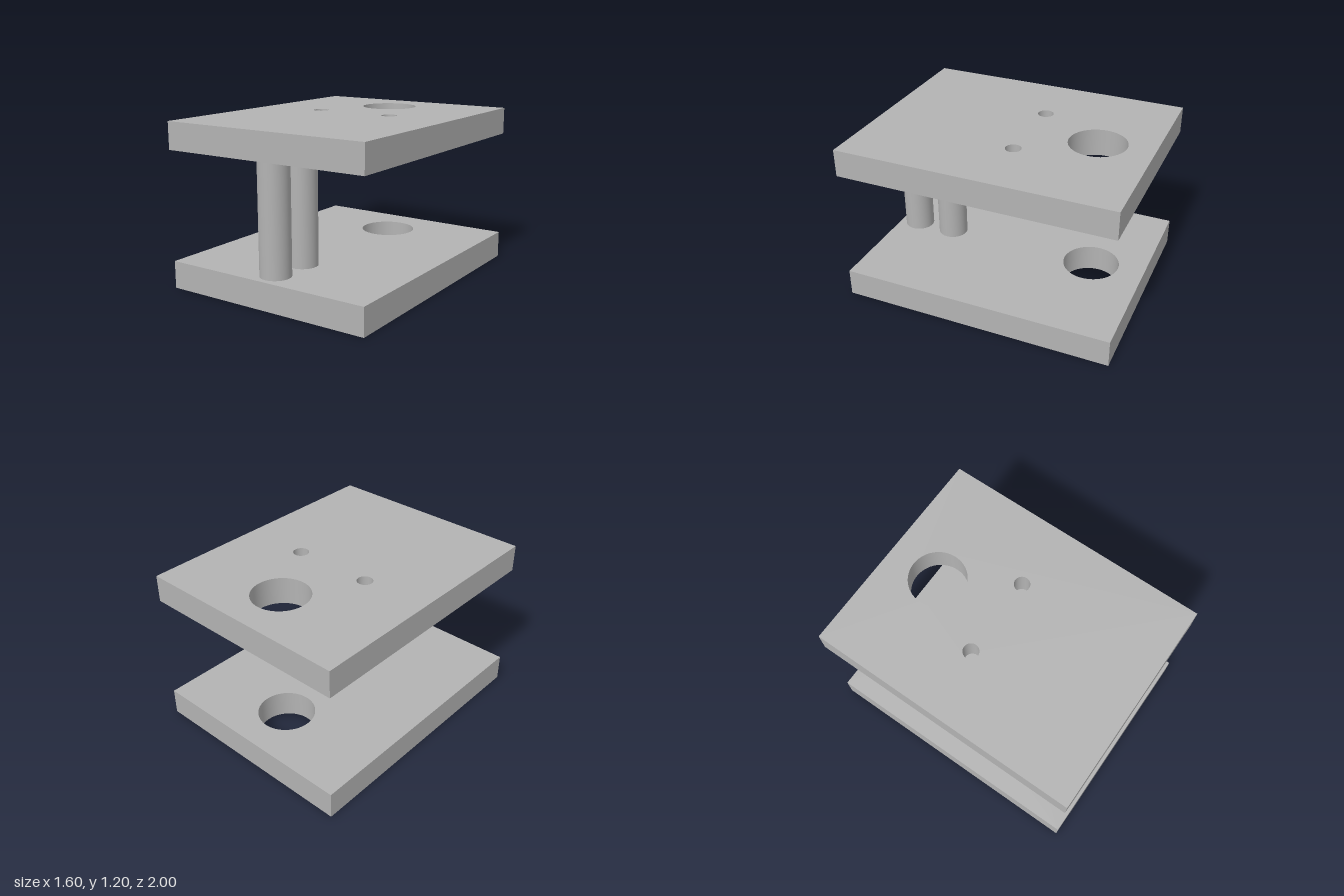
import * as THREE from 'three';
import { mergeGeometries } from 'three/addons/utils/BufferGeometryUtils.js';

const W = 1.6, D = 2, T = 0.2;
const mainHole = { x: 0, z: -0.6, r: 0.207 };
const smallHoles = [-0.3, 0.3].map((x) => ({ x, z: -0.1, r: 0.057 }));
const pockets = [-0.65, 0.65].map((x) => ({ x, z: -0.6, r: 0.112, depth: 0.16 }));

// Flat horizontal face of a plate, pierced by the given holes
function face(holes, y, up) {
  const s = up ? -1 : 1; // shape y maps to z with this sign
  const shape = new THREE.Shape([[-1, -1], [1, -1], [1, 1], [-1, 1]]
    .map(([a, b]) => new THREE.Vector2(a * W / 2, b * D / 2)));
  for (const h of holes) {
    shape.holes.push(new THREE.Path().absarc(h.x, s * h.z, h.r, 0, Math.PI * 2, true));
  }
  return new THREE.ShapeGeometry(shape, 32).rotateX(up ? -Math.PI / 2 : Math.PI / 2).translate(0, y, 0);
}

// Surface of revolution from one straight profile segment
function ring(h, r0, y0, r1, y1) {
  const points = [new THREE.Vector2(r0, y0), new THREE.Vector2(r1, y1)];
  return new THREE.LatheGeometry(points, 64).translate(h.x, 0, h.z);
}

// Plate with through holes and blind pockets in its underside
function plate(through, blind) {
  const parts = [face(through, T, true), face([...through, ...blind], 0, false)];
  // Outer edges
  for (let i = 0; i < 4; i++) {
    const [w, d] = i % 2 ? [D, W] : [W, D];
    parts.push(new THREE.PlaneGeometry(w, T).translate(0, T / 2, d / 2).rotateY(i * Math.PI / 2));
  }
  // Hole walls face inwards
  for (const h of through) parts.push(ring(h, h.r, T, h.r, 0));
  for (const h of blind) {
    parts.push(ring(h, h.r, h.depth, h.r, 0), ring(h, 0, h.depth, h.r, h.depth));
  }
  return mergeGeometries(parts);
}

export function createModel() {
  const group = new THREE.Group();
  const grey = new THREE.MeshStandardMaterial({ color: 0xb3b3b3 });
  grey.name = 'grey';

  const add = (name, geometry, x, y, z) => {
    const mesh = new THREE.Mesh(geometry, grey);
    mesh.name = name;
    mesh.position.set(x, y, z);
    group.add(mesh);
  };

  add('basePlate', plate([mainHole], pockets), 0, 0, 0);
  add('topPlate', plate([mainHole, ...smallHoles], []), 0, 1, 0);

  // Pillars between the plates
  const pillar = new THREE.CylinderGeometry(0.11, 0.11, 0.8, 64, 1, true);
  add('frontPillar', pillar, 0, 0.6, 0.85);
  add('rearPillar', pillar, 0, 0.6, 0.55);

  return group;
}
